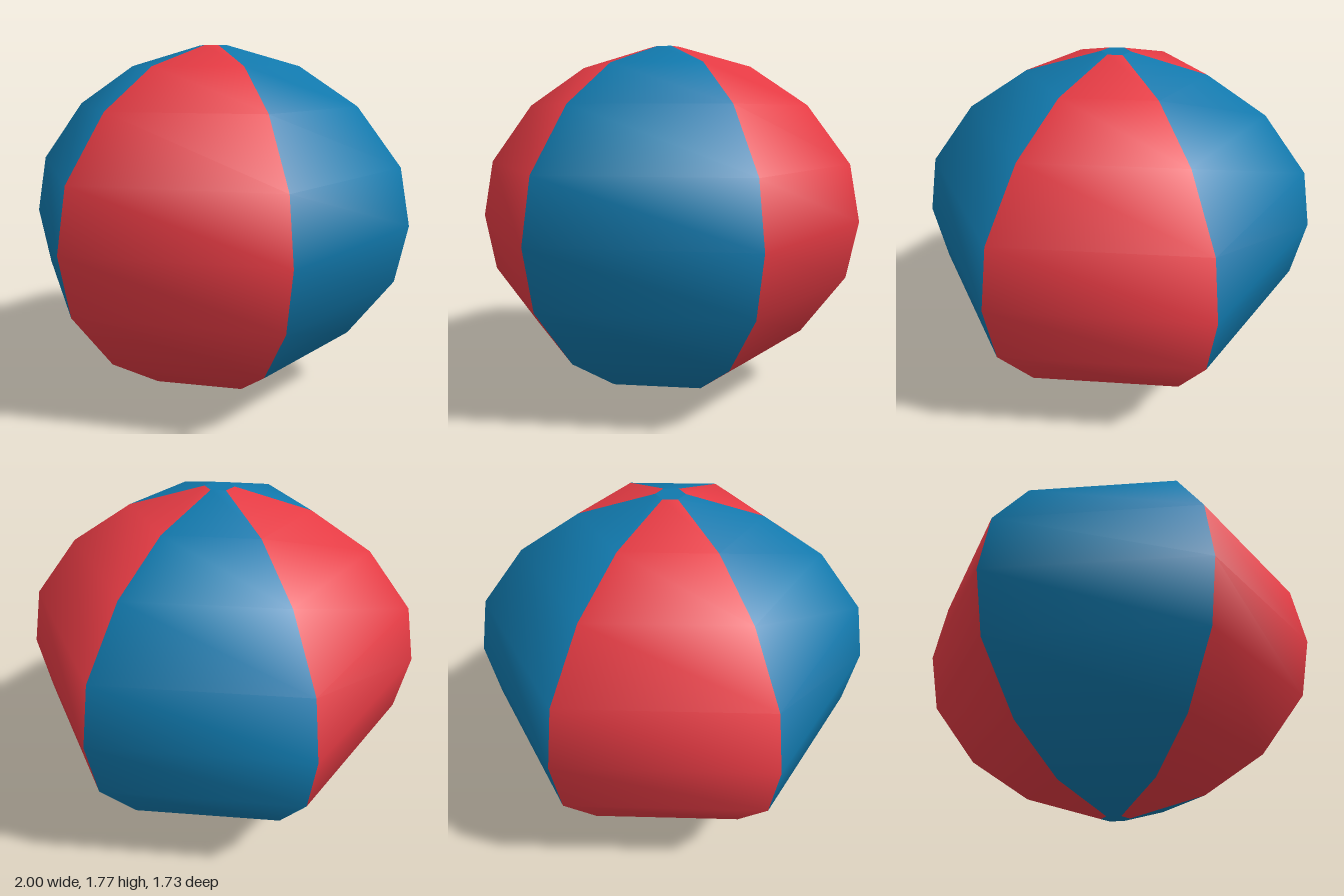
import * as THREE from 'three';

export function createModel() {
  const ball = new THREE.Group();
  ball.name = 'beachBall';

  const red = new THREE.MeshStandardMaterial({ color: 0xe63b44 });
  red.name = 'red';
  const blue = new THREE.MeshStandardMaterial({ color: 0x1179ad });
  blue.name = 'blue';

  // Seam profile from bottom to top (radius, height), mirrored about the equator
  const middle = 0.886;
  const lower = [[0.07, 0.886], [0.43, 0.784], [0.72, 0.591], [0.943, 0.295]];
  const profile = [
    ...lower.map(([r, h]) => new THREE.Vector2(r, middle - h)),
    new THREE.Vector2(1, middle),
    ...[...lower].reverse().map(([r, h]) => new THREE.Vector2(r, middle + h)),
  ];

  // Six panels in alternating colours, the first one facing the front
  const step = Math.PI / 3;
  for (let i = 0; i < 6; i++) {
    const geometry = new THREE.LatheGeometry(profile, 1, (i - 0.5) * step, step);
    const panel = new THREE.Mesh(geometry, i % 2 ? blue : red);
    panel.name = `${i % 2 ? 'blue' : 'red'}Panel${i + 1}`;
    ball.add(panel);
  }

  // Small hexagonal caps closing both poles
  for (const side of [1, -1]) {
    const cap = new THREE.Mesh(new THREE.CircleGeometry(0.07, 6), blue);
    cap.rotation.x = -side * Math.PI / 2;
    cap.position.y = middle + side * middle;
    cap.name = side > 0 ? 'topCap' : 'bottomCap';
    ball.add(cap);
  }

  return ball;
}
